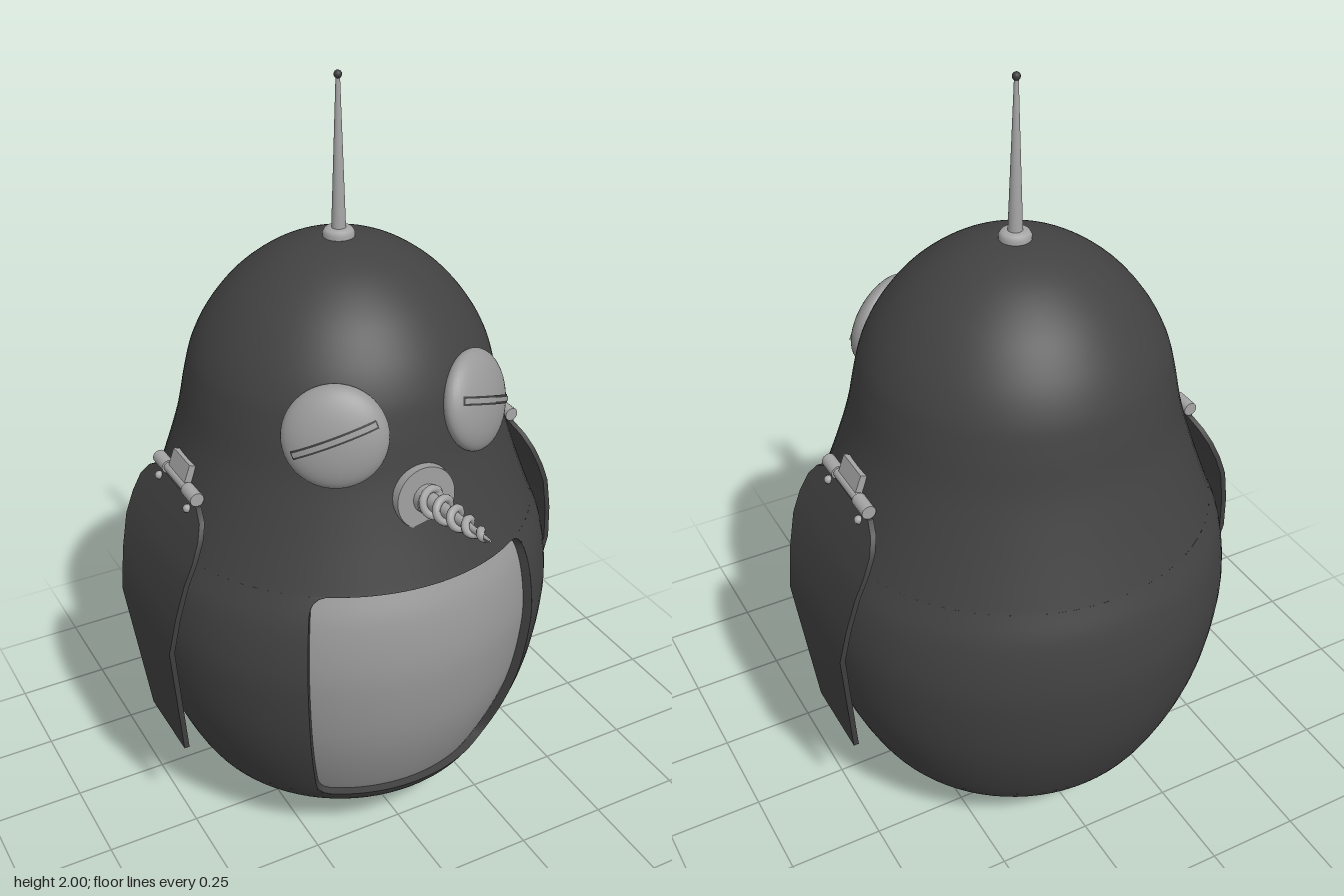
import * as THREE from 'three';

const mat = (name, color, side = THREE.FrontSide) => {
  const m = new THREE.MeshStandardMaterial({ color, side });
  m.name = name;
  return m;
};

export function createModel() {
  const shell = mat('charcoal shell', 0x424242, THREE.DoubleSide);
  const rubber = mat('dark rubber', 0x3c3c3c);
  const pale = mat('pale grey', 0x999999, THREE.DoubleSide);
  const metal = mat('light metal', 0xa6a6a6);

  const model = new THREE.Group();
  model.name = 'birdRobot';
  const AXIS_Z = -0.085;
  const add = (parent, name, geometry, material, x = 0, y = 0, z = 0) => {
    const mesh = new THREE.Mesh(geometry, material);
    mesh.name = name;
    mesh.position.set(x, y, z);
    parent.add(mesh);
    return mesh;
  };
  const group = (name, x, y, z) => {
    const g = new THREE.Group();
    g.name = name;
    g.position.set(x, y, z);
    model.add(g);
    return g;
  };
  const v2 = (list) => list.map(([x, y]) => new THREE.Vector2(x, y));

  // Outer body profile
  const samples = new THREE.SplineCurve(v2([
    [0.33, 0.125], [0.385, 0.143], [0.43, 0.2], [0.485, 0.32], [0.523, 0.44], [0.545, 0.57],
    [0.55, 0.68], [0.533, 0.8], [0.495, 0.9], [0.452, 1.02], [0.415, 1.14], [0.392, 1.25],
    [0.37, 1.33], [0.328, 1.41], [0.262, 1.49], [0.175, 1.555], [0.085, 1.591], [0, 1.601],
  ])).getPoints(140);
  const radiusAt = (y) => {
    const i = Math.max(1, samples.findIndex((p) => p.y >= y));
    const a = samples[i - 1], b = samples[i];
    return a.x + (b.x - a.x) * (y - a.y) / (b.y - a.y);
  };
  const span = (y0, y1, inset = 0) => [
    new THREE.Vector2(radiusAt(y0) - inset, y0),
    ...samples.filter((p) => p.y > y0 + 0.002 && p.y < y1 - 0.002)
      .map((p) => new THREE.Vector2(p.x - inset, p.y)),
    new THREE.Vector2(radiusAt(y1) - inset, y1),
  ];

  // Body in three bands; the middle one leaves the belly open
  const LOW = 0.2, HIGH = 0.885, HALF = 0.63, DEPTH = 0.024;
  const lower = [
    ...v2([[0, 0.34], [0.2, 0.335], [0.255, 0.3], [0.275, 0.22], [0.285, 0.14], [0.3, 0.127]]),
    ...samples.filter((p) => p.y < LOW - 0.002),
    new THREE.Vector2(radiusAt(LOW), LOW),
  ];
  const upper = [...span(HIGH, 1.59), ...samples.filter((p) => p.y > 1.592)];
  add(model, 'lowerBody', new THREE.LatheGeometry(lower, 80), shell, 0, 0, AXIS_Z);
  add(model, 'middleBody', new THREE.LatheGeometry(span(LOW, HIGH), 72, HALF, Math.PI * 2 - HALF * 2),
    shell, 0, 0, AXIS_Z);
  add(model, 'upperBody', new THREE.LatheGeometry(upper, 80), shell, 0, 0, AXIS_Z);
  add(model, 'bellyPanel', new THREE.LatheGeometry(span(LOW, HIGH, DEPTH), 32, -HALF, HALF * 2),
    pale, 0, 0, AXIS_Z);

  // Rounded rim of the belly opening, wrapped on the body
  const ARC = 0.5, W = HALF * ARC, C = 0.05;
  const wrap = (u, y, inset) => {
    const r = radiusAt(y) - inset, a = u / ARC;
    return [r * Math.sin(a), y, r * Math.cos(a)];
  };
  const outline = new THREE.Path();
  outline.moveTo(-W + C, LOW).lineTo(W - C, LOW).quadraticCurveTo(W, LOW, W, LOW + C);
  outline.lineTo(W, HIGH - C).quadraticCurveTo(W, HIGH, W - C, HIGH);
  outline.lineTo(-W + C, HIGH).quadraticCurveTo(-W, HIGH, -W, HIGH - C);
  outline.lineTo(-W, LOW + C).quadraticCurveTo(-W, LOW, -W + C, LOW);
  const rimPos = [], rimIndex = [], N = 160;
  outline.getSpacedPoints(N).forEach((p, i) => {
    rimPos.push(...wrap(p.x, p.y, 0), ...wrap(p.x, p.y, DEPTH + 0.002));
    if (i < N) rimIndex.push(2 * i, 2 * i + 2, 2 * i + 1, 2 * i + 1, 2 * i + 2, 2 * i + 3);
  });
  const rim = new THREE.BufferGeometry();
  rim.setAttribute('position', new THREE.Float32BufferAttribute(rimPos, 3));
  rim.setIndex(rimIndex);
  rim.computeVertexNormals();
  add(model, 'bellyRim', rim, shell, 0, 0, AXIS_Z);
  for (const sx of [-1, 1]) for (const sy of [-1, 1]) {
    const x = sx * W, y = sy > 0 ? HIGH : LOW;
    const s = new THREE.Shape();
    s.moveTo(x, y).lineTo(x - sx * C, y).quadraticCurveTo(x, y, x, y - sy * C);
    const g = new THREE.ShapeGeometry(s, 8), p = g.attributes.position;
    for (let i = 0; i < p.count; i++) p.setXYZ(i, ...wrap(p.getX(i), p.getY(i), 0));
    g.computeVertexNormals();
    add(model, 'bellyCorner', g, shell, 0, 0, AXIS_Z);
  }

  // Wing rows from top to bottom: y, x, front z, back z
  const rows = [
    [1.025, 0.452, 0.04, -0.21], [1.005, 0.462, 0.08, -0.245], [0.97, 0.478, 0.103, -0.27],
    [0.92, 0.5, 0.113, -0.278], [0.86, 0.524, 0.11, -0.275], [0.76, 0.547, 0.097, -0.262],
    [0.65, 0.563, 0.08, -0.245], [0.29, 0.523, 0.03, -0.19],
  ];
  const tyre = v2([[0, -0.03], [0.045, -0.03], [0.05, -0.042], [0.085, -0.042], [0.095, -0.052],
    [0.13, -0.055], [0.153, -0.045], [0.165, -0.02], [0.165, 0.02], [0.153, 0.045], [0.13, 0.055],
    [0.095, 0.052], [0.085, 0.042], [0.05, 0.042], [0.045, 0.03], [0, 0.03]]);

  for (const s of [-1, 1]) {
    const side = s > 0 ? 'left' : 'right';

    // Wing, bent along its length
    const wing = new THREE.BoxGeometry(0.014, 1, 1, 1, rows.length - 1, 1);
    const p = wing.attributes.position;
    for (let i = 0; i < p.count; i++) {
      const [y, x, front, back] = rows[Math.round((0.5 - p.getY(i)) * (rows.length - 1))];
      p.setXYZ(i, s * x + p.getX(i), y, p.getZ(i) > 0 ? front : back);
    }
    wing.computeVertexNormals();
    add(model, side + 'Wing', wing, shell);

    // Shoulder hinge
    const hinge = group(side + 'Hinge', s * 0.453, 1.045, AXIS_Z);
    add(hinge, 'hingePin', new THREE.CylinderGeometry(0.013, 0.013, 0.24, 16).rotateX(Math.PI / 2), metal);
    for (const k of [-1, 1]) {
      add(hinge, 'hingeKnuckle', new THREE.CylinderGeometry(0.018, 0.018, 0.06, 16).rotateX(Math.PI / 2),
        metal, 0, 0, k * 0.09);
      add(hinge, 'hingeBolt', new THREE.SphereGeometry(0.011, 12, 8), metal, s * 0.016, -0.035, k * 0.09);
    }
    const plate = add(hinge, 'hingePlate', new THREE.BoxGeometry(0.018, 0.055, 0.1), metal, -s * 0.012, 0.028, 0);
    plate.rotation.z = s * 0.35;

    // Eye with a sleepy slit
    const eye = group(side + 'Eye', s * 0.19, 1.26, 0.253);
    eye.rotation.set(-0.25, s * 0.53, 0, 'YXZ');
    add(eye, 'eyeball', new THREE.SphereGeometry(1, 40, 24).scale(0.127, 0.125, 0.05), pale);
    const band = (name, reach, half, lift, material) => {
      const g = new THREE.SphereGeometry(lift, 24, 2, Math.PI / 2 - reach, reach * 2, Math.PI / 2 - half, half * 2);
      add(eye, name, g.scale(0.127, 0.125, 0.05), material).rotation.z = -s * 0.38;
    };
    band('eyeSlit', 0.95, 0.085, 1.03, rubber);
    band('eyeSlitGlint', 0.88, 0.045, 1.06, pale);

    // Wheel
    add(model, side + 'Wheel', new THREE.LatheGeometry(tyre, 48).rotateZ(Math.PI / 2), rubber,
      s * 0.15, 0.165, AXIS_Z);
    add(model, side + 'Hub', new THREE.CylinderGeometry(0.025, 0.025, 0.09, 20).rotateZ(Math.PI / 2), rubber,
      s * 0.15, 0.165, AXIS_Z);
  }
  add(model, 'axle', new THREE.CylinderGeometry(0.015, 0.015, 0.4, 16).rotateZ(Math.PI / 2), rubber,
    0, 0.165, AXIS_Z);

  // Drill beak: base disc, tapered core and spiral flight
  const beak = group('drillBeak', 0, 1.09, 0.34);
  beak.rotation.x = -0.14;
  add(beak, 'beakDisc', new THREE.CylinderGeometry(0.078, 0.083, 0.028, 40).rotateX(Math.PI / 2), pale);
  add(beak, 'beakCollar', new THREE.CylinderGeometry(0.036, 0.036, 0.03, 24).rotateX(Math.PI / 2), metal, 0, 0, 0.02);
  add(beak, 'drillCore', new THREE.CylinderGeometry(0.003, 0.024, 0.292, 16).rotateX(Math.PI / 2), metal, 0, 0, 0.146);
  const spiral = [];
  for (let i = 0; i <= 90; i++) {
    const t = i / 90, a = t * Math.PI * 2 * 4.7;
    const r = 0.031 * Math.pow(1 - t, 0.6);
    spiral.push(new THREE.Vector3(r * Math.cos(a), r * Math.sin(a), 0.02 + 0.255 * t));
  }
  add(beak, 'drillFlight', new THREE.TubeGeometry(new THREE.CatmullRomCurve3(spiral), 200, 0.01, 8), metal);

  // Antenna
  const antenna = group('antenna', 0, 1.595, AXIS_Z);
  add(antenna, 'antennaBase', new THREE.LatheGeometry(
    v2([[0.038, -0.01], [0.04, 0.012], [0.034, 0.022], [0.022, 0.025], [0, 0.025]]), 32), metal);
  add(antenna, 'antennaRod', new THREE.CylinderGeometry(0.005, 0.018, 0.375, 20), metal, 0, 0.21, 0);
  add(antenna, 'antennaTip', new THREE.SphereGeometry(0.01, 16, 12), rubber, 0, 0.395, 0);

  return model;
}
